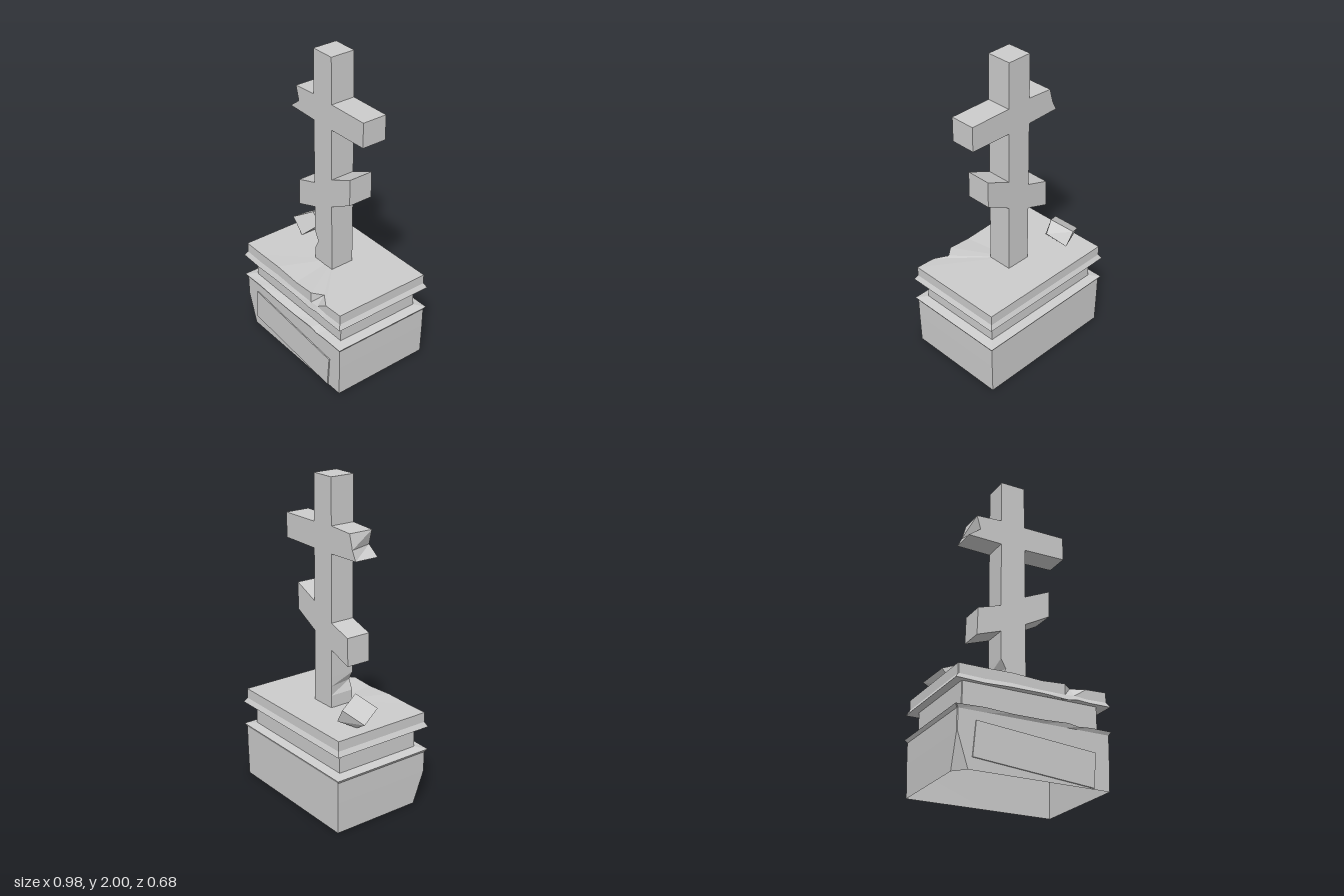
import * as THREE from 'three';
import { ConvexGeometry } from 'three/addons/geometries/ConvexGeometry.js';

const stone = new THREE.MeshStandardMaterial({ color: 0xcccccc, flatShading: true });
const shell = new THREE.MeshStandardMaterial({ color: 0xcccccc, flatShading: true, side: THREE.DoubleSide });

function add(group, name, geometry, material = stone) {
  const mesh = new THREE.Mesh(geometry, material);
  mesh.name = name;
  group.add(mesh);
  return mesh;
}

// Hollow stepped plinth: rectangular rings stacked from the ground up, open below
function plinthGeometry() {
  // [half width, half depth, y, roughness of the front edge]
  const rings = [
    [0.47, 0.328, 0, 0], [0.475, 0.33, 0.2, 0], [0.476, 0.331, 0.33, 0],
    [0.49, 0.342, 0.35, 0.006], [0.43, 0.285, 0.362, 0], [0.43, 0.285, 0.51, 0],
    [0.49, 0.342, 0.5, 0.006], [0.472, 0.326, 0.53, 0.004], [0.472, 0.325, 0.592, 0.006],
  ];
  // Outline as fractions of the half sizes, extra points along the worn front edge
  const outline = [
    [-1, 0.99], [-0.99, 1], [-0.65, 1], [-0.3, 1], [0.1, 1], [0.42, 1], [0.55, 1], [0.72, 1],
    [1, 1], [1, -1], [0.1, -1], [-1, -1],
  ];
  const n = outline.length, positions = [], index = [];
  rings.forEach(([hx, hz, y, rough], r) => {
    outline.forEach(([u, v], i) => {
      let x = u * hx, z = v * hz, h = y;
      if (i > 1 && i < 8) h += rough * Math.sin(i * 2.3 + r);
      // Broken lower corner
      if (r === 0 && i === 0) z -= 0.07;
      if (r === 0 && i === 1) x += 0.06;
      // Chip in the upper edge of the slab
      if (r === 8 && i === 6) z = 0.275;
      positions.push(x, h, z);
    });
  });
  for (let r = 0; r < rings.length - 1; r++) {
    for (let i = 0; i < n; i++) {
      const j = (i + 1) % n, a = r * n, b = a + n;
      index.push(a + i, a + j, b + j, a + i, b + j, b + i);
    }
  }
  // Top of the slab
  const last = (rings.length - 1) * n;
  positions.push(0, 0.592, 0);
  for (let i = 0; i < n; i++) index.push(last + n, last + i, last + (i + 1) % n);
  const geo = new THREE.BufferGeometry();
  geo.setAttribute('position', new THREE.Float32BufferAttribute(positions, 3));
  geo.setIndex(index);
  const flat = geo.toNonIndexed();
  flat.computeVertexNormals();
  return flat;
}

// Cross with a straight upper bar and a slanted lower bar
function crossGeometry() {
  const outline = [
    [-0.082, 0.585], [0.083, 0.585], [0.083, 1.045], [0.25, 1.135], [0.25, 1.305], [0.083, 1.23],
    [0.083, 1.555], [0.36, 1.56], [0.36, 1.715], [0.083, 1.715], [0.08, 2], [-0.08, 2],
    [-0.082, 1.72], [-0.25, 1.71], [-0.225, 1.62], [-0.305, 1.56], [-0.082, 1.555],
    [-0.082, 1.135], [-0.235, 1.085], [-0.24, 0.91], [-0.082, 0.965],
    [-0.082, 0.79], [-0.05, 0.73], [-0.08, 0.67],
  ].map(([x, y]) => new THREE.Vector2(x, y));
  const geo = new THREE.ExtrudeGeometry(new THREE.Shape(outline), { depth: 0.16, bevelEnabled: false });
  geo.translate(0, 0, -0.08);
  // The two breaks are deep at the front and shallow at the back
  const p = geo.attributes.position;
  for (let i = 0; i < p.count; i++) {
    if (p.getZ(i) > 0) continue;
    if (Math.abs(p.getY(i) - 1.62) < 0.001) p.setX(i, -0.275);
    if (Math.abs(p.getY(i) - 0.73) < 0.001) p.setX(i, -0.081);
  }
  geo.computeVertexNormals();
  return geo;
}

export function createModel() {
  const model = new THREE.Group();
  model.name = 'graveMonument';

  add(model, 'plinth', plinthGeometry(), shell);
  add(model, 'cross', crossGeometry());

  // Slipped plaque on the front of the plinth
  const plaque = add(model, 'plaque', new THREE.BoxGeometry(0.75, 0.207, 0.02));
  plaque.position.set(0, 0.141, 0.327);
  plaque.rotation.z = -0.087;

  // Piece broken off the upper bar, lying on the slab
  const corners = [
    [-0.475, 0.64, -0.14], [-0.355, 0.71, -0.21], [-0.3, 0.76, -0.07], [-0.42, 0.69, 0],
    [-0.3, 0.62, -0.203], [-0.25, 0.68, -0.08], [-0.33, 0.595, 0], [-0.39, 0.59, -0.13],
  ].map((c) => new THREE.Vector3(...c));
  add(model, 'fallenFragment', new ConvexGeometry(corners));

  return model;
}
